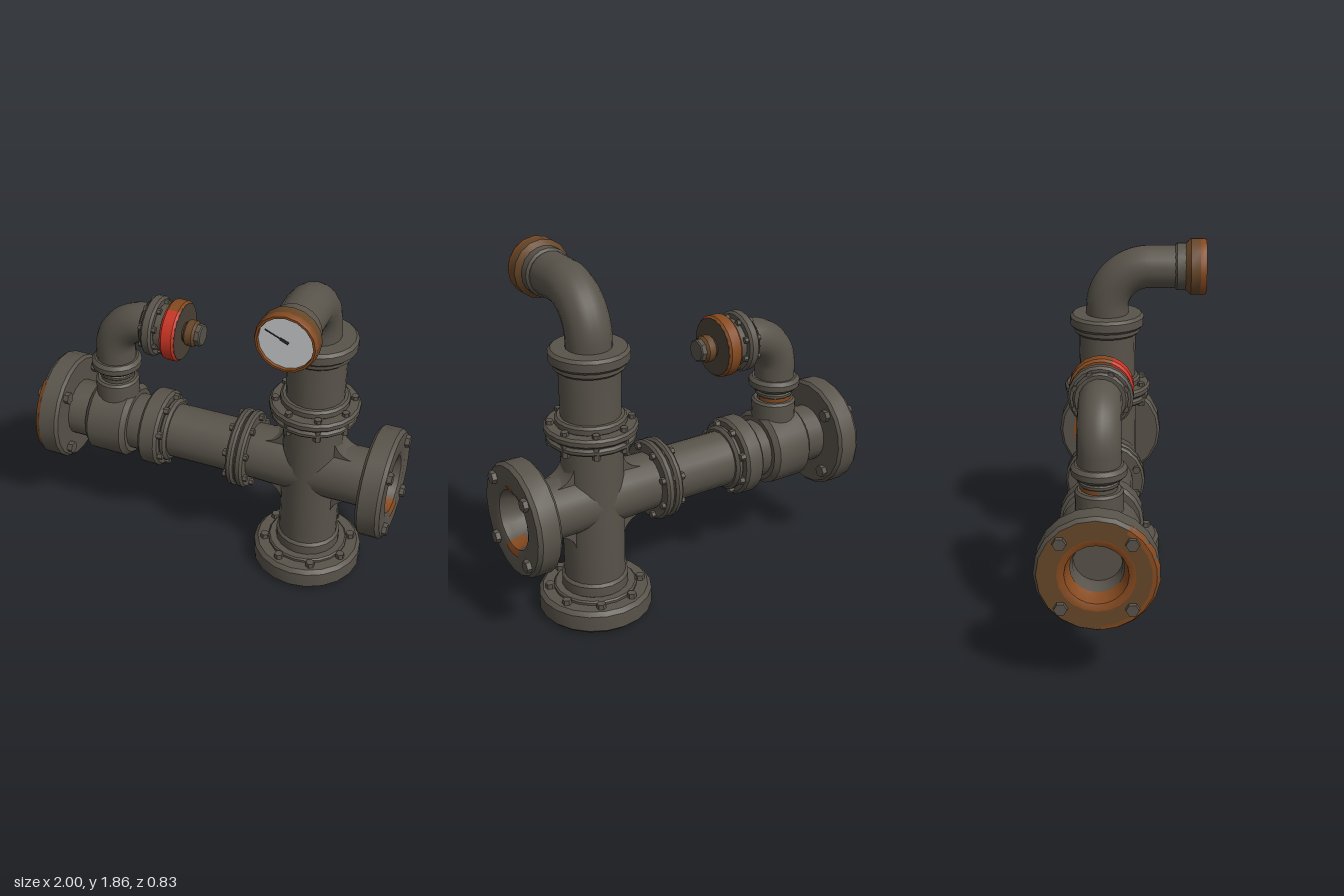
import * as THREE from 'three';
import { toCreasedNormals } from 'three/addons/utils/BufferGeometryUtils.js';

const flat = (name, color) => Object.assign(new THREE.MeshStandardMaterial({ color }), { name });

export function createModel() {
  const iron = flat('weathered iron', 0x58534a);
  const darkIron = flat('dark iron', 0x4a4136);
  const rust = flat('rust', 0x84491f);
  const brown = flat('rusty brown', 0x664628);
  const red = flat('red paint', 0xc83423);
  const white = flat('dial white', 0xcdcfd1);
  const black = flat('needle', 0x2e2c2a);

  const root = new THREE.Group();
  root.name = 'pipeAssembly';
  const Z = -0.115, RUN = 0.635, COL = 0.52, BR = -0.605;
  const rot = { y: [0, 0, 0], x: [0, 0, -Math.PI / 2], '-x': [0, 0, Math.PI / 2], z: [Math.PI / 2, 0, 0] };

  const add = (name, geo, mat, parent = root) => {
    const m = new THREE.Mesh(geo, mat);
    m.name = name;
    parent.add(m);
    return m;
  };
  // frame whose local y points along the given axis
  const frame = (name, axis, x, y, z) => {
    const g = new THREE.Group();
    g.name = name;
    g.position.set(x, y, z);
    g.rotation.set(...rot[axis]);
    root.add(g);
    return g;
  };
  // turned part from [radius, height] pairs
  const turn = (name, parent, mat, pts, seg = 20, start = 0, arc = Math.PI * 2) =>
    add(name, toCreasedNormals(new THREE.LatheGeometry(
      pts.map(p => new THREE.Vector2(...p)), seg, start, arc), 0.6), mat, parent);
  // closed disc with chamfered edges
  const disc = (name, parent, mat, r, h0, h1, c = 0.012, seg = 20) => turn(name, parent, mat,
    [[0, h0], [r - c, h0], [r, h0 + c], [r, h1 - c], [r - c, h1], [0, h1]], seg);
  // ring of hexagonal bolts
  const bolts = (parent, n, ring, r, h0, h1) => {
    for (let i = 0; i < n; i++) {
      const a = (i + 0.5) / n * Math.PI * 2;
      const b = add('bolt', toCreasedNormals(new THREE.CylinderGeometry(r * 0.88, r, h1 - h0, 6), 0.6), iron, parent);
      b.position.set(Math.cos(a) * ring, (h0 + h1) / 2, Math.sin(a) * ring);
    }
  };
  const elbow = (name, pts, r) => {
    const path = new THREE.CurvePath();
    const v = pts.map(p => new THREE.Vector3(...p));
    path.add(new THREE.LineCurve3(v[0], v[1]));
    // quarter bend
    const k = 0.5523;
    path.add(new THREE.CubicBezierCurve3(v[1], v[1].clone().lerp(v[2], k), v[3].clone().lerp(v[2], k), v[3]));
    path.add(new THREE.LineCurve3(v[3], v[4]));
    add(name, new THREE.TubeGeometry(path, 28, r, 18), iron);
  };

  // horizontal run
  const run = frame('horizontalRun', 'x', 0, RUN, Z);
  turn('runPipe', run, iron, [[0.155, -0.86], [0.155, -0.42], [0.148, -0.25], [0.148, 0.11], [0.15, 0.2], [0.155, 0.36], [0.155, 0.86]]);
  disc('teeBody', run, iron, 0.205, -0.73, -0.49, 0.025);
  disc('collar', run, iron, 0.212, -0.405, -0.295, 0.015);
  disc('collarStep', run, iron, 0.175, -0.3, -0.255, 0.015);
  bolts(run, 8, 0.18, 0.022, -0.3, -0.27);
  disc('jointPlate', run, iron, 0.213, 0.105, 0.147);
  disc('jointGasket', run, iron, 0.195, 0.14, 0.16, 0.003);
  disc('jointPlate', run, iron, 0.213, 0.155, 0.2);
  bolts(run, 8, 0.182, 0.021, 0.085, 0.22);

  // open end flanges with recessed bores
  const endFlange = (name, axis) => {
    const f = frame(name, axis, 0, RUN, Z);
    turn('flange', f, iron, [[0.14, 0.845], [0.28, 0.845], [0.295, 0.86], [0.295, 0.955], [0.28, 0.975],
      [0.18, 0.975], [0.155, 0.965], [0.148, 0.93], [0.118, 0.86], [0.118, 0.8], [0, 0.8]]);
    bolts(f, 4, 0.237, 0.036, 0.965, 0.998);
    return f;
  };
  const leftEnd = endFlange('leftEndFlange', '-x');
  const rightEnd = endFlange('rightEndFlange', 'x');
  bolts(leftEnd, 4, 0.237, 0.034, 0.815, 0.85);

  // rust stains on the end flanges
  const lip = [[0.185, 0.979], [0.178, 0.979], [0.151, 0.967], [0.144, 0.93], [0.128, 0.893]];
  turn('faceStain', leftEnd, brown, [[0.28, 0.978], [0.18, 0.978]]);
  turn('boreStain', leftEnd, rust, lip);
  turn('rimStain', leftEnd, rust, [[0.298, 0.95], [0.281, 0.979], [0.26, 0.981]], 9, -1.5, 2.5);
  turn('boreStainBelow', rightEnd, rust, lip, 4, Math.PI / 2 - 0.35, 0.7);
  turn('boreStainAbove', rightEnd, rust, lip, 3, Math.PI * 1.5 - 0.2, 0.4);
  turn('backStain', rightEnd, rust, [[0.155, 0.842], [0.215, 0.842]], 6, Math.PI - 0.8, 1.6);

  // vertical column
  const col = frame('column', 'y', COL, 0, Z);
  turn('columnPipe', col, iron, [[0.158, 0.1], [0.158, 0.96], [0.152, 1.1], [0.155, 1.38]]);
  disc('baseFlange', col, iron, 0.293, 0, 0.122, 0.02);
  disc('baseStep', col, iron, 0.215, 0.11, 0.142, 0.008);
  disc('baseCollar', col, iron, 0.172, 0.13, 0.21, 0.014);
  bolts(col, 8, 0.235, 0.026, 0.11, 0.148);
  disc('lowerPlate', col, iron, 0.225, 0.965, 1.003);
  disc('columnGasket', col, iron, 0.205, 1, 1.015, 0.003);
  disc('upperPlate', col, iron, 0.236, 1.012, 1.058);
  disc('plateCollar', col, iron, 0.18, 1.05, 1.1, 0.012);
  bolts(col, 8, 0.203, 0.022, 0.945, 1.078);
  disc('topRingStep', col, iron, 0.18, 1.345, 1.39, 0.012);
  disc('topRing', col, iron, 0.202, 1.38, 1.452, 0.015);

  // cast fillets where run and column cross
  for (const sx of [-1, 1]) for (const sy of [-1, 1]) {
    const sh = new THREE.Shape();
    const p = (a, b) => [COL + sx * a, RUN + sy * b];
    sh.moveTo(...p(0.1, 0.1));
    sh.lineTo(...p(0.24, 0.1));
    sh.lineTo(...p(0.24, 0.135));
    sh.quadraticCurveTo(...p(0.15, 0.15), ...p(0.135, 0.24));
    sh.lineTo(...p(0.1, 0.24));
    const g = new THREE.ExtrudeGeometry(sh, { depth: 0.14, bevelEnabled: false, curveSegments: 6 });
    add('crossFillet', toCreasedNormals(g, 0.6), iron).position.z = Z - 0.07;
  }

  // gauge elbow and dial
  elbow('gaugeElbow', [[COL, 1.42, Z], [COL, 1.48, Z], [COL, 1.71, Z], [COL, 1.71, Z + 0.23], [COL, 1.71, 0.3]], 0.115);
  const gauge = frame('gauge', 'z', COL + 0.003, 1.71, 0);
  disc('gaugeNeck', gauge, iron, 0.127, 0.25, 0.325, 0.012);
  turn('gaugeCase', gauge, brown, [[0, 0.305], [0.125, 0.305], [0.152, 0.335], [0.152, 0.385]], 16);
  turn('gaugeBezel', gauge, rust, [[0.152, 0.385], [0.152, 0.405], [0.146, 0.418], [0.135, 0.418], [0.132, 0.4]], 16);
  disc('dial', gauge, white, 0.135, 0.398, 0.404, 0.001, 16);
  const needle = new THREE.Group();
  needle.name = 'needle';
  needle.position.set(COL + 0.008, 1.715, 0.407);
  needle.rotation.z = -0.42;
  root.add(needle);
  add('pointer', new THREE.BoxGeometry(0.12, 0.004, 0.005), black, needle).position.x = -0.055;
  add('hub', new THREE.BoxGeometry(0.045, 0.012, 0.007), black, needle).position.x = -0.012;

  // branch riser on the tee
  const branch = frame('branch', 'y', BR, 0, Z);
  disc('branchSocket', branch, iron, 0.118, 0.65, 0.912, 0.012);
  disc('branchNeck', branch, iron, 0.09, 0.9, 0.985, 0.005, 16);
  disc('neckRing', branch, iron, 0.1, 0.935, 0.96, 0.006, 16);
  turn('neckStain', branch, rust, [[0.108, 0.915], [0.094, 0.915], [0.094, 0.937]].slice(1), 9, Math.PI / 2, Math.PI);
  disc('branchRing', branch, iron, 0.136, 0.975, 1.04, 0.018);
  elbow('branchElbow', [[BR, 1.02, Z], [BR, 1.1, Z], [BR, 1.288, Z], [BR + 0.19, 1.288, Z], [-0.36, 1.288, Z]], 0.107);

  // capped end of the branch
  const cap = frame('branchCap', 'x', 0, 1.288, Z);
  disc('backRing', cap, iron, 0.135, -0.41, -0.38, 0.01);
  disc('capFlange', cap, iron, 0.16, -0.388, -0.33);
  disc('capNeck', cap, iron, 0.125, -0.335, -0.275, 0.008);
  bolts(cap, 8, 0.13, 0.018, -0.405, -0.31);
  const rim = [[0.12, -0.282], [0.15, -0.282], [0.161, -0.268], [0.161, -0.212], [0.15, -0.2]];
  turn('paintedRim', cap, red, rim, 9, -1.2, 2.4);
  turn('rustyRim', cap, rust, rim, 13, 1.2, Math.PI * 2 - 2.4);
  disc('capFace', cap, darkIron, 0.151, -0.28, -0.199, 0.001, 22);
  disc('plugNeck', cap, darkIron, 0.052, -0.205, -0.17, 0.004, 12);
  disc('plugBase', cap, brown, 0.07, -0.19, -0.128, 0.012, 12);
  disc('plugHead', cap, iron, 0.06, -0.135, -0.098, 0.006, 8);

  return root;
}
